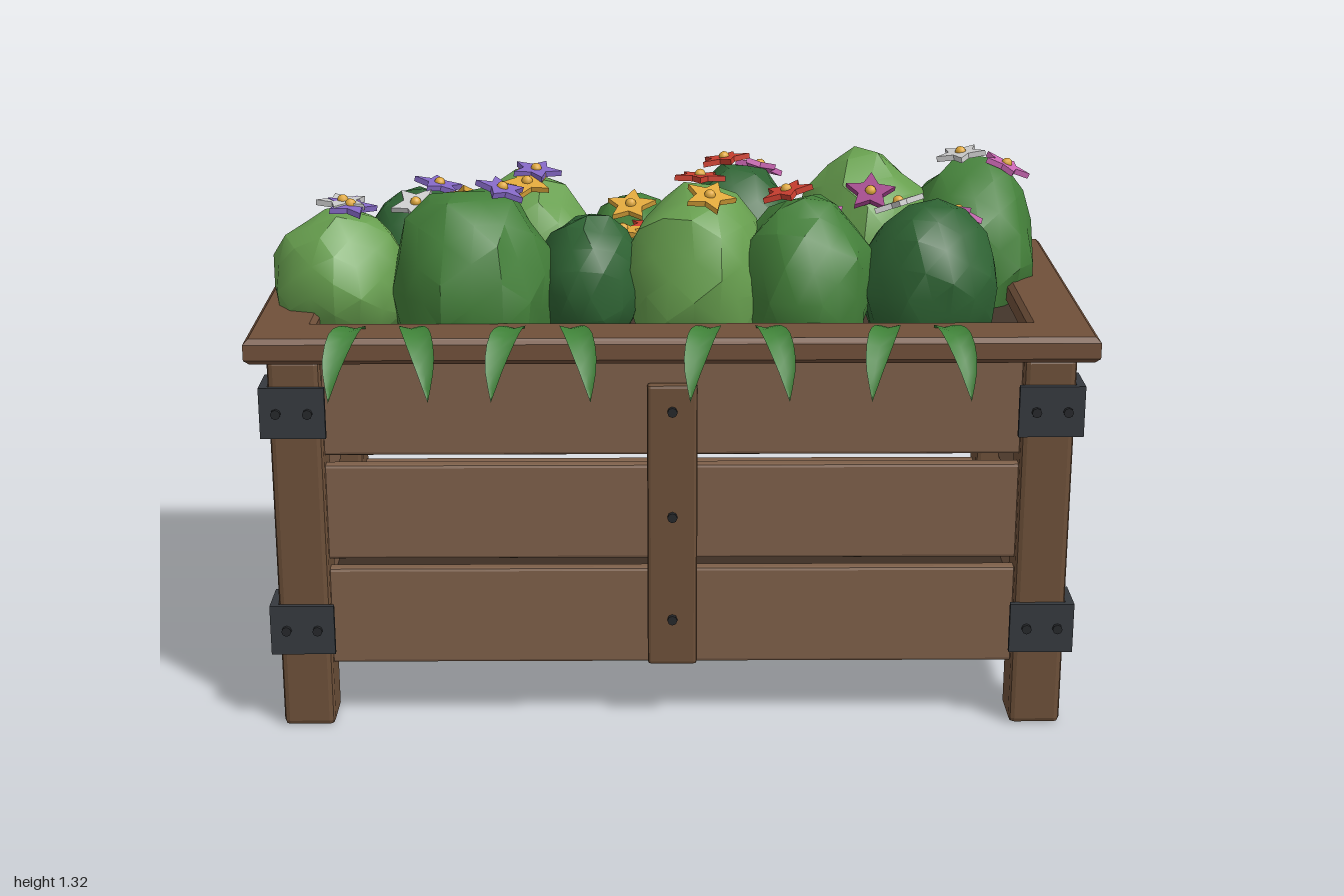
import * as THREE from 'three';
import { RoundedBoxGeometry } from 'three/addons/geometries/RoundedBoxGeometry.js';
import { mergeVertices, toCreasedNormals } from 'three/addons/utils/BufferGeometryUtils.js';

const mat = (color, extra = {}) => new THREE.MeshStandardMaterial({ color, ...extra });
const flat = { flatShading: true };
const M = {
  plank: mat(0x7d5f49, flat), post: mat(0x6d5039, flat), rim: mat(0x70503a, flat),
  floor: mat(0x3e2f24), soil: mat(0x43352b), metal: mat(0x35393e, flat), bolt: mat(0x25272a),
  light: mat(0x68a04f), mid: mat(0x44803a), dark: mat(0x2f6434),
  leaf: mat(0x3f8238, { side: THREE.DoubleSide }), heart: mat(0xe0a83a),
  purple: mat(0x8468c4, flat), white: mat(0xdedede, flat), gold: mat(0xe0a83c, flat),
  red: mat(0xcc3f30, flat), pink: mat(0xcb68b4, flat), magenta: mat(0x9c3f86, flat),
};
const ZC = -0.046; // middle of the box in z

let seed = 7;
const rand = () => (seed = (seed * 16807) % 2147483647) / 2147483647;

function add(parent, name, geo, material, x = 0, y = 0, z = 0) {
  const mesh = new THREE.Mesh(geo, material);
  mesh.name = name;
  mesh.position.set(x, y, z);
  parent.add(mesh);
  return mesh;
}
const chamferBox = (w, h, d, r = 0.008) => new RoundedBoxGeometry(w, h, d, 1, r);

function buildBox(root) {
  const box = new THREE.Group();
  box.name = 'planterBox';
  box.position.z = ZC;
  root.add(box);
  const boltGeo = new THREE.CylinderGeometry(0.012, 0.012, 0.014, 8).rotateX(Math.PI / 2);

  for (const sx of [-1, 1]) for (const sz of [-1, 1])
    add(box, 'cornerPost', chamferBox(0.125, 0.94, 0.125, 0.014), M.post, sx * 0.892, 0.47, sz * 0.384);

  // Three rows of planks on all four sides, with open gaps between them
  for (const [y0, y1] of [[0.155, 0.403], [0.427, 0.668], [0.692, 0.932]]) {
    const h = y1 - y0, y = (y0 + y1) / 2;
    for (const s of [-1, 1]) {
      add(box, 'longPlank', chamferBox(1.74, h, 0.035), M.plank, 0, y, s * 0.398);
      add(box, 'endPlank', chamferBox(0.035, h, 0.74), M.plank, s * 0.908, y, 0);
    }
  }

  // Centre battens with bolts, front and back
  for (const s of [-1, 1]) {
    add(box, 'batten', chamferBox(0.12, 0.715, 0.03), M.post, 0, 0.517, s * 0.428);
    for (const y of [0.28, 0.545, 0.81]) add(box, 'battenBolt', boltGeo, M.bolt, 0, y, s * 0.448);
  }

  // Metal corner straps on the front posts
  for (const s of [-1, 1]) for (const y of [0.26, 0.812]) {
    add(box, 'strapFront', new THREE.BoxGeometry(0.155, 0.125, 0.014), M.metal, s * 0.897, y, 0.453);
    add(box, 'strapSide', new THREE.BoxGeometry(0.02, 0.125, 0.107), M.metal, s * 0.9645, y, 0.4);
    for (const x of [0.86, 0.935]) add(box, 'strapBolt', boltGeo, M.bolt, s * x, y, 0.463);
  }

  add(box, 'floor', new THREE.BoxGeometry(1.78, 0.03, 0.78), M.floor, 0, 0.172, 0);
  add(box, 'soil', new THREE.BoxGeometry(1.77, 0.07, 0.76), M.soil, 0, 0.9, 0);

  // Top rim: bevelled frame
  const rect = (C, w, d) => new C([[-w, -d], [w, -d], [w, d], [-w, d]].map(p => new THREE.Vector2(...p)));
  const frame = rect(THREE.Shape, 0.988, 0.477);
  frame.holes.push(rect(THREE.Path, 0.862, 0.352));
  const rimGeo = new THREE.ExtrudeGeometry(frame, {
    depth: 0.038, bevelThickness: 0.012, bevelSize: 0.012, bevelSegments: 1,
  }).rotateX(-Math.PI / 2);
  add(box, 'rim', rimGeo, M.rim, 0, 0.951, 0);
}

// x, z, half width, half depth, top, shade
const BUSHES = [
  [-0.81, 0.06, 0.165, 0.165, 1.22, 'light'], [-0.485, 0.11, 0.195, 0.195, 1.29, 'mid'],
  [-0.2, 0.08, 0.13, 0.14, 1.21, 'dark'], [0.065, 0.08, 0.175, 0.18, 1.28, 'light'],
  [0.33, 0.12, 0.16, 0.17, 1.27, 'mid'], [0.63, 0.1, 0.165, 0.16, 1.24, 'dark'],
  [-0.635, -0.22, 0.14, 0.16, 1.21, 'dark'], [-0.36, -0.2, 0.175, 0.17, 1.25, 'light'],
  [-0.09, -0.22, 0.125, 0.14, 1.19, 'mid'], [0.175, -0.25, 0.17, 0.17, 1.26, 'dark'],
  [0.5, -0.25, 0.18, 0.2, 1.29, 'light'], [0.77, -0.23, 0.165, 0.205, 1.28, 'mid'],
];
const BUSH_Y = 1.04;

function buildBushes(root) {
  for (const [x, z, rx, rz, top, shade] of BUSHES) {
    let geo = new THREE.IcosahedronGeometry(1, 2);
    geo.deleteAttribute('normal');
    geo.deleteAttribute('uv');
    geo = mergeVertices(geo, 1e-3);
    geo.rotateY(rand() * 6);
    const p = geo.attributes.position;
    for (let i = 0; i < p.count; i++) {
      const k = 0.95 + 0.14 * rand();
      const y = p.getY(i) * (top - BUSH_Y) * k;
      p.setXYZ(i, p.getX(i) * rx * k, Math.max(y, -0.13), p.getZ(i) * rz * k);
    }
    add(root, 'bush', toCreasedNormals(geo, 0.6), M[shade], x, BUSH_Y, z);
  }
}

// Highest bush surface above a point, with its slope
function surfaceAt(x, z) {
  let best = { y: 1.12, n: new THREE.Vector3(0, 1, 0) };
  for (const [bx, bz, rx, rz, top] of BUSHES) {
    const u = (x - bx) / rx, v = (z - bz) / rz, w = 1 - u * u - v * v;
    if (w <= 0) continue;
    const ry = top - BUSH_Y, y = BUSH_Y + ry * Math.sqrt(w);
    if (y > best.y) best = { y, n: new THREE.Vector3(u / rx, Math.sqrt(w) / ry, v / rz).normalize() };
  }
  return best;
}

const FLOWERS = [
  [-0.59, -0.21, 'purple'], [-0.64, -0.12, 'white'], [-0.34, -0.17, 'purple'], [-0.36, -0.12, 'gold'],
  [-0.1, -0.14, 'gold'], [-0.05, -0.1, 'red'], [-0.12, -0.04, 'gold'], [-0.505, -0.03, 'gold'],
  [-0.78, 0.09, 'purple'], [-0.8, 0.07, 'white'], [-0.41, 0.14, 'purple'], [0.07, 0.06, 'red'],
  [0.09, 0.16, 'gold'], [0.28, 0.13, 'red'], [0.37, -0.01, 'pink'], [0.56, 0.05, 'white'],
  [0.705, 0.01, 'pink'], [0.5, -0.1, 'magenta'], [0.23, -0.33, 'pink'], [0.14, -0.26, 'red'],
  [0.74, -0.22, 'white'], [0.85, -0.21, 'pink'],
];

function buildFlowers(root) {
  const pts = Array.from({ length: 10 }, (_, i) => {
    const a = i * Math.PI / 5, r = i % 2 ? 0.032 : 0.065;
    return new THREE.Vector2(Math.sin(a) * r, Math.cos(a) * r);
  });
  const star = new THREE.ExtrudeGeometry(new THREE.Shape(pts), { depth: 0.014, bevelEnabled: false }).rotateX(-Math.PI / 2);
  const heart = new THREE.IcosahedronGeometry(0.014, 1);
  const up = new THREE.Vector3(0, 1, 0);
  for (const [x, z, color] of FLOWERS) {
    const { y, n } = surfaceAt(x, z);
    const flower = new THREE.Group();
    flower.name = 'flower';
    flower.position.set(x, y + 0.015, z);
    flower.quaternion.setFromUnitVectors(up, n.lerp(up, 0.4).normalize());
    flower.rotateY(rand() * 6.28);
    add(flower, 'petals', star, M[color]);
    add(flower, 'flowerHeart', heart, M.heart, 0, 0.014, 0);
    root.add(flower);
  }
}

// Folded leaf blade arching over the rim; drift is its sideways lean
function leafGeometry(drift) {
  const path = new THREE.CatmullRomCurve3([
    [0, 0.985, 0.325], [drift * 0.2, 1.018, 0.38], [drift * 0.5, 1.015, 0.44],
    [drift * 0.85, 0.955, 0.5], [drift, 0.875, 0.53],
  ].map(p => new THREE.Vector3(...p)));
  const N = 10, pos = [], idx = [];
  for (let i = 0; i <= N; i++) {
    const t = i / N, c = path.getPoint(t), w = 0.034 * Math.sin(Math.PI * (0.06 + 0.94 * t));
    pos.push(c.x - w, c.y, c.z, c.x, c.y - w * 0.35, c.z - w * 0.35, c.x + w, c.y, c.z);
    if (i < N) for (const k of [3 * i, 3 * i + 1]) idx.push(k, k + 3, k + 1, k + 1, k + 3, k + 4);
  }
  const geo = new THREE.BufferGeometry();
  geo.setAttribute('position', new THREE.Float32BufferAttribute(pos, 3));
  geo.setIndex(idx);
  geo.computeVertexNormals();
  return geo;
}

export function createModel() {
  const root = new THREE.Group();
  root.name = 'flowerPlanter';
  buildBox(root);
  buildBushes(root);
  buildFlowers(root);
  for (const x of [-0.68, -0.305, 0.155, 0.575]) for (const s of [-1, 1])
    add(root, 'trailingLeaf', leafGeometry(s * 0.06), M.leaf, x + s * 0.055, 0, 0);
  return root;
}
